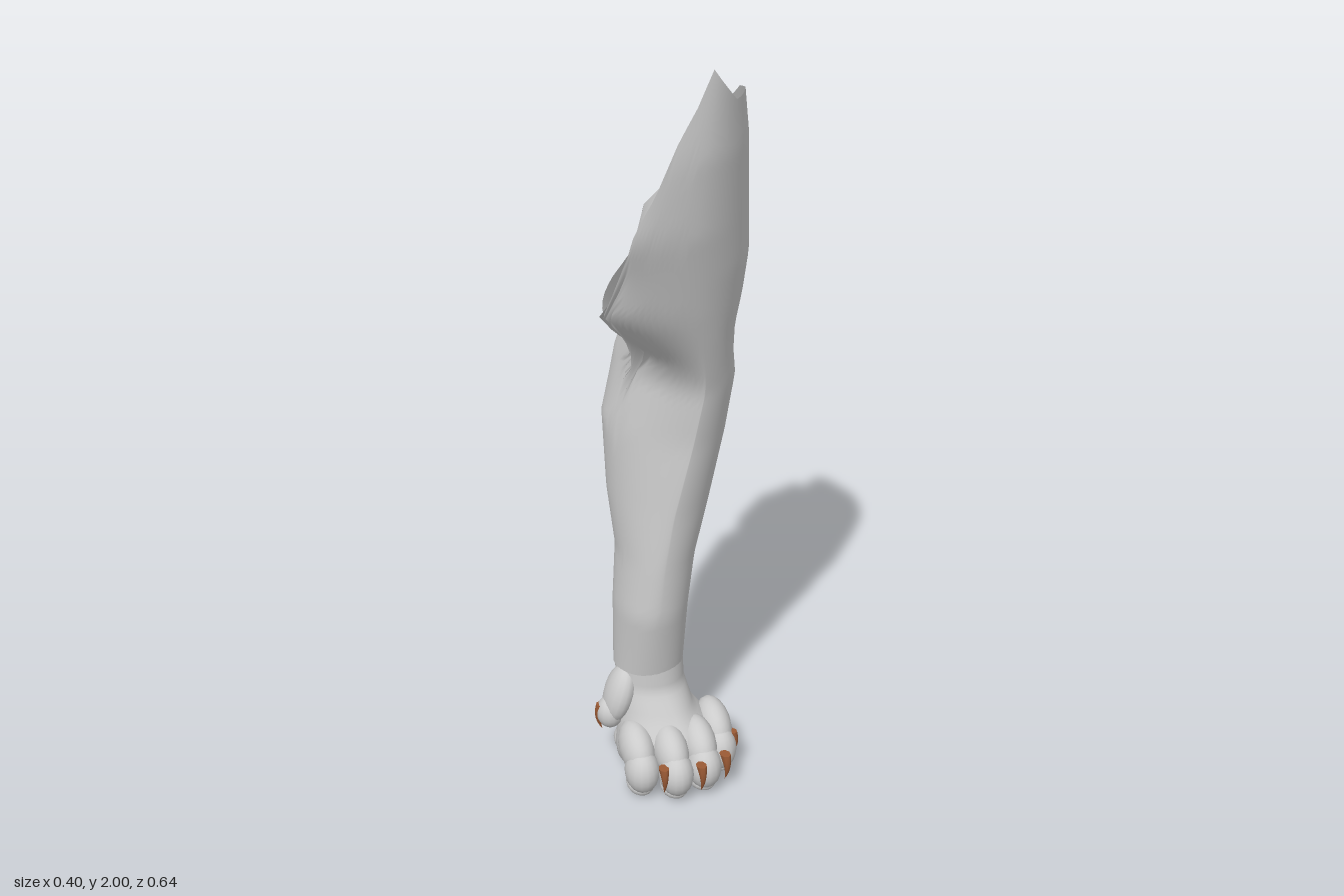
import * as THREE from 'three';

const grey = new THREE.MeshStandardMaterial({ color: 0xcccccc, side: THREE.DoubleSide });
const horn = new THREE.MeshStandardMaterial({ color: 0x9a5a35 });

// Linear lookup in rows sorted by their first value
function sample(rows, v) {
  let i = 0;
  while (i < rows.length - 2 && v > rows[i + 1][0]) i++;
  const a = rows[i], b = rows[i + 1];
  const t = THREE.MathUtils.clamp((v - a[0]) / (b[0] - a[0]), 0, 1);
  return a.map((n, k) => n + (b[k] - n) * t);
}

// Skin through cross-sections made of four quarter ellipses.
// Row: y, xMin, xMax, zMin, zMax, xFront, xBack, zLeft, zRight,
// then how hollow the -x side is at the rear and at the front (1 = round)
function skin(rows, rimHeight, around, steps) {
  const pos = [], index = [], y0 = rows[0][0];
  for (let j = 0; j <= steps; j++) {
    for (let i = 0; i < around; i++) {
      const deg = (i / around) * 360, a = THREE.MathUtils.degToRad(deg);
      const y = y0 + (rimHeight(deg) - y0) * (j / steps);
      const [, xMin, xMax, zMin, zMax, xF, xB, zL, zR, rear, front] = sample(rows, y);
      const s = Math.sin(a), c = Math.cos(a);
      const xMid = c >= 0 ? xF : xB, zMid = s >= 0 ? zR : zL;
      const side = s < 0 ? Math.pow(-s, c < 0 ? rear : front) : s;
      pos.push(xMid + ((s >= 0 ? xMax : xMin) - xMid) * side, y,
        zMid + ((c >= 0 ? zMax : zMin) - zMid) * Math.abs(c));
      if (j < steps) {
        const n = (i + 1) % around, p = j * around + i, q = j * around + n;
        index.push(p, q, q + around, p, q + around, p + around);
      }
    }
  }
  const g = new THREE.BufferGeometry();
  g.setAttribute('position', new THREE.Float32BufferAttribute(pos, 3));
  g.setIndex(index);
  g.computeVertexNormals();
  return g;
}

const legRows = [
  [0.31, -0.115, 0.065, -0.16, 0.015, -0.02, -0.02, -0.08, -0.07, 1, 1],
  [0.50, -0.115, 0.075, -0.19, 0.055, -0.03, 0, -0.07, -0.07, 1, 1],
  [0.65, -0.102, 0.095, -0.22, 0.062, -0.02, 0.01, -0.08, -0.08, 1, 1.2],
  [0.80, -0.112, 0.13, -0.255, 0.07, 0, 0.02, -0.12, -0.08, 1, 1.6],
  [1.00, -0.115, 0.168, -0.295, 0.09, 0.04, 0.04, -0.14, -0.08, 1, 2],
  [1.16, -0.075, 0.182, -0.32, 0.12, 0.06, 0.04, -0.13, -0.06, 1, 2],
  [1.23, -0.06, 0.17, -0.29, 0.145, 0.05, 0.03, -0.06, -0.05, 1.3, 1.4],
  [1.31, -0.14, 0.17, -0.28, 0.175, 0.03, 0, 0.02, -0.05, 3, 1.2],
  [1.39, -0.20, 0.187, -0.28, 0.205, 0, 0.01, 0.10, -0.05, 3.5, 1],
  [1.50, -0.173, 0.199, -0.285, 0.24, -0.02, 0.04, 0.18, -0.05, 3, 1],
  [1.61, -0.175, 0.19, -0.285, 0.275, -0.04, 0.07, 0.25, -0.04, 2.8, 1],
  [1.80, -0.15, 0.168, -0.26, 0.31, -0.03, 0.08, 0.26, 0, 2, 1],
  [2.00, -0.13, 0.13, -0.24, 0.32, 0, 0.06, 0.27, 0.04, 2, 1],
];

// Angle from the front towards +x, height of the torn upper edge
const rim = [
  [0, 2], [30, 1.918], [55, 1.915], [80, 1.88], [98, 1.82], [130, 1.755],
  [140, 1.61], [150, 1.62], [162, 1.55], [180, 1.49], [200, 1.43], [235, 1.38],
  [265, 1.32], [275, 1.33], [280, 1.39], [285, 1.44], [291, 1.61], [318, 1.72],
  [335, 1.84], [350, 1.92], [360, 2],
];

const pawRows = [
  [0.005, 0.015, 0.015, -0.03, -0.03, 0.015, 0.015, -0.03, -0.03, 1, 1],
  [0.015, -0.08, 0.1, -0.13, 0.06, 0.02, 0.02, -0.03, -0.03, 1, 1],
  [0.04, -0.12, 0.138, -0.155, 0.09, 0.02, 0.02, -0.03, -0.03, 1, 1],
  [0.08, -0.125, 0.15, -0.155, 0.11, 0.02, 0.02, -0.03, -0.03, 1, 1],
  [0.14, -0.12, 0.125, -0.145, 0.105, 0.02, 0.01, -0.03, -0.04, 1, 1],
  [0.19, -0.115, 0.085, -0.14, 0.065, 0.01, 0, -0.05, -0.05, 1, 1],
  [0.26, -0.112, 0.068, -0.145, 0.02, -0.01, -0.02, -0.07, -0.07, 1, 1],
  [0.35, -0.112, 0.064, -0.163, 0.015, -0.02, -0.02, -0.08, -0.07, 1, 1],
];

function add(parent, name, geometry, material = grey) {
  const mesh = new THREE.Mesh(geometry, material);
  mesh.name = name;
  parent.add(mesh);
  return mesh;
}

function blob(parent, name, [x, y, z], [rx, ry, rz], tilt = 0) {
  const m = add(parent, name, new THREE.SphereGeometry(1, 16, 12));
  m.position.set(x, y, z);
  m.scale.set(rx, ry, rz);
  m.rotation.x = tilt;
  return m;
}

// Pointed claw, hooked backwards towards its tip
function claw(parent, [x, y, z], turn) {
  const g = new THREE.ConeGeometry(0.014, 0.08, 8, 6);
  g.rotateX(Math.PI);
  const p = g.attributes.position;
  for (let i = 0; i < p.count; i++) {
    const t = p.getY(i) / 0.04;
    p.setZ(i, p.getZ(i) * 1.2 - 0.01 * t * t);
  }
  g.computeVertexNormals();
  const m = add(parent, 'claw', g, horn);
  m.position.set(x, y, z);
  m.rotation.y = turn;
}

export function createModel() {
  const model = new THREE.Group();
  model.name = 'foreleg';

  // Hollow leg with its open, ragged top
  add(model, 'leg', skin(legRows, (d) => sample(rim, d)[1], 72, 60));
  blob(model, 'wristPad', [-0.005, 0.39, -0.185], [0.032, 0.038, 0.037]);

  // Wrist and foot
  const paw = new THREE.Group();
  paw.name = 'paw';
  model.add(paw);
  add(paw, 'foot', skin(pawRows, () => 0.35, 32, 24));
  for (const x of [-0.06, 0.015, 0.09]) {
    blob(paw, 'heelPad', [x, 0.045, -0.1], [0.052, 0.042, 0.055]);
  }

  // Four toes: x, z, then claw x, z and outward turn
  for (const [x, z, cx, cz, turn] of [
    [-0.095, 0.08, -0.055, 0.162, 0], [-0.015, 0.12, 0.042, 0.18, 0.15],
    [0.065, 0.11, 0.118, 0.153, 0.3], [0.13, 0.045, 0.172, 0.06, 1],
  ]) {
    const toe = new THREE.Group();
    toe.name = 'toe';
    paw.add(toe);
    blob(toe, 'knuckle', [x, 0.122, z - 0.035], [0.045, 0.06, 0.08], 0.45);
    blob(toe, 'toeTip', [x, 0.08, z + 0.012], [0.045, 0.062, 0.054]);
    blob(toe, 'toePad', [x, 0.03, z - 0.005], [0.036, 0.027, 0.048]);
    claw(toe, [cx, 0.08, cz], turn);
  }

  // Thumb on the inner side
  const thumb = new THREE.Group();
  thumb.name = 'dewToe';
  paw.add(thumb);
  blob(thumb, 'dewKnuckle', [-0.112, 0.235, -0.05], [0.038, 0.085, 0.055]).rotation.z = -0.3;
  blob(thumb, 'dewTip', [-0.138, 0.18, -0.05], [0.036, 0.045, 0.038]);
  claw(thumb, [-0.168, 0.165, -0.055], -Math.PI / 2);

  return model;
}
